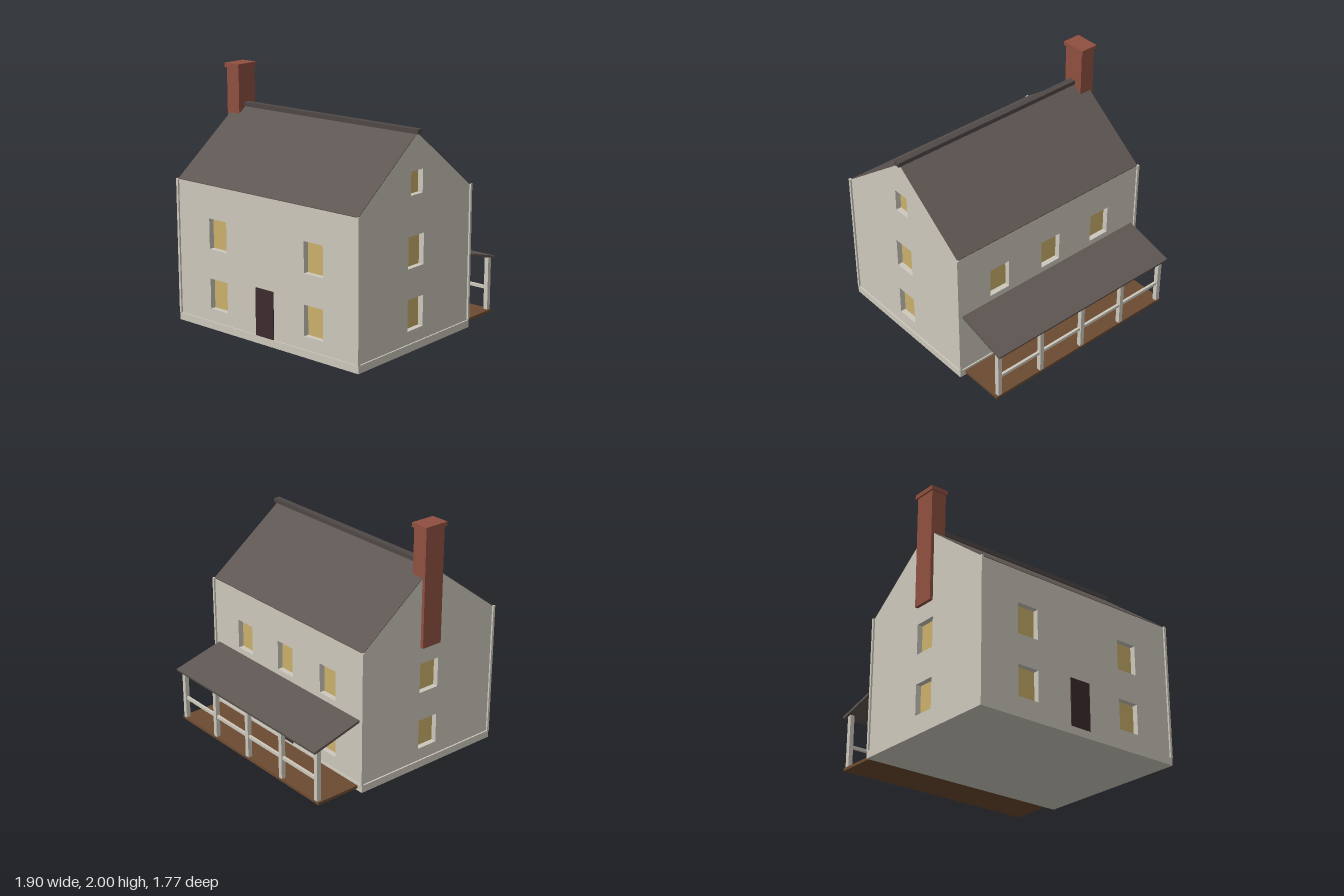
import * as THREE from 'three';

const mat = (name, color) => {
  const m = new THREE.MeshStandardMaterial({ color });
  m.name = name;
  return m;
};

export function createModel() {
  const plaster = mat('pale plaster', 0xcdc8bc);
  const shingle = mat('roof shingle', 0x5e5652);
  const capGrey = mat('ridge grey', 0x4e4846);
  const amber = mat('window amber', 0xcbb06a);
  const brick = mat('chimney brick', 0x8f5040);
  const darkWood = mat('door wood', 0x3c2b2f);
  const deckWood = mat('deck wood', 0x6b4a30);

  const house = new THREE.Group();
  house.name = 'house';

  // Box given by its limits on each axis
  const box = (name, material, [x0, x1], [y0, y1], [z0, z1], parent = house) => {
    const mesh = new THREE.Mesh(new THREE.BoxGeometry(x1 - x0, y1 - y0, z1 - z0), material);
    mesh.position.set((x0 + x1) / 2, (y0 + y1) / 2, (z0 + z1) / 2);
    mesh.name = name;
    parent.add(mesh);
    return mesh;
  };

  const CX = 0.004, CZ = 0.206;      // centre of the main block
  const HW = 0.917, HD = 0.665;      // half width and half depth
  const BASE = 0.06, EAVE = 1.155, RIDGE = 1.66;
  const RECESS = 0.045;

  // Wall panel facing local +z, with window openings and recessed panes
  const wall = (name, outline, windows, x, z, turn) => {
    const group = new THREE.Group();
    group.name = name;
    const shape = new THREE.Shape(outline.map(p => new THREE.Vector2(...p)));
    for (const [u, y, w, h] of windows) {
      const a = u - w / 2, b = u + w / 2, c = y - h / 2, d = y + h / 2;
      shape.holes.push(new THREE.Path([[a, c], [a, d], [b, d], [b, c]].map(p => new THREE.Vector2(...p))));
      box('windowPane', amber, [a - 0.004, b + 0.004], [c - 0.004, d + 0.004], [-RECESS - 0.006, -RECESS], group);
    }
    const geo = new THREE.ExtrudeGeometry(shape, { depth: RECESS, bevelEnabled: false });
    geo.translate(0, 0, -RECESS);
    const panel = new THREE.Mesh(geo, plaster);
    panel.name = name + 'Panel';
    group.add(panel);
    group.position.set(x, 0, z);
    group.rotation.y = turn;
    house.add(group);
    return group;
  };

  const LOW = 0.285, HIGH = 0.77, W = 0.185, H = 0.245;
  const longWall = [[-HW, BASE], [HW, BASE], [HW, EAVE], [-HW, EAVE]];
  const gable = [[-HD, BASE], [HD, BASE], [HD, EAVE], [0, RIDGE], [-HD, EAVE]];
  const pairs = us => us.flatMap(u => [[u, LOW, W, H], [u, HIGH, W, H]]);

  const front = wall('frontWall', longWall, pairs([-0.491, 0.491]), CX, CZ + HD, 0);
  const back = wall('backWall', longWall, [...pairs([-0.515, 0.515]), [0, HIGH, W, H]], CX, CZ - HD, Math.PI);
  wall('leftGable', gable, [...pairs([0]), [0, 1.293, 0.14, 0.18]], CX + HW, CZ, Math.PI / 2);
  wall('rightGable', gable, pairs([0]), CX - HW, CZ, -Math.PI / 2);

  // Doors
  for (const w of [front, back]) box('door', darkWood, [-0.091, 0.091], [BASE, 0.44], [0, 0.008], w);

  // Foundation and corner boards
  box('foundation', plaster, [-0.926, 0.933], [0, BASE], [-0.469, 0.881]);
  for (const sx of [-1, 1]) for (const sz of [-1, 1]) {
    const x = CX + sx * (HW + 0.004), z = CZ + sz * (HD + 0.004);
    box('cornerBoard', plaster, [x - 0.01, x + 0.01], [BASE, 1.16], [z - 0.01, z + 0.01]);
  }

  // Main roof: a thin folded sheet along x
  const t = 0.006;
  const fold = new THREE.Shape([
    [-HD, EAVE], [0, RIDGE], [HD, EAVE], [HD, EAVE + t], [0, RIDGE + t], [-HD, EAVE + t],
  ].map(p => new THREE.Vector2(...p)));
  const roofGeo = new THREE.ExtrudeGeometry(fold, { depth: 2 * HW, bevelEnabled: false });
  roofGeo.translate(0, 0, -HW);
  const roof = new THREE.Mesh(roofGeo, shingle);
  roof.name = 'mainRoof';
  roof.rotation.y = Math.PI / 2;
  roof.position.set(CX, 0, CZ);
  house.add(roof);
  box('ridgeCap', capGrey, [-0.91, 0.945], [1.655, 1.69], [CZ - 0.027, CZ + 0.027]);

  // Chimney on the right gable
  box('chimneyShaft', brick, [-0.94, -0.81], [1.03, 1.97], [0.11, 0.292]);
  box('chimneyCap', brick, [-0.953, -0.8], [1.965, 2], [0.095, 0.305]);

  // Back porch: deck, sloping roof, posts and rail
  box('porchDeck', deckWood, [CX - 0.88, CX + 0.88], [0.02, 0.043], [-0.85, -0.46]);
  const slope = new THREE.Shape([
    [0.455, 0.58], [0.885, 0.463], [0.89, 0.482], [0.455, 0.6],
  ].map(p => new THREE.Vector2(...p)));
  const porchGeo = new THREE.ExtrudeGeometry(slope, { depth: 1.768, bevelEnabled: false });
  porchGeo.translate(0, 0, -0.884);
  const porchRoof = new THREE.Mesh(porchGeo, shingle);
  porchRoof.name = 'porchRoof';
  porchRoof.rotation.y = Math.PI / 2;
  porchRoof.position.x = CX;
  house.add(porchRoof);
  for (let i = -2; i <= 2; i++) {
    const x = CX + i * 0.423;
    box('porchPost', plaster, [x - 0.018, x + 0.018], [0.043, 0.48], [-0.85, -0.813]);
  }
  box('porchRail', plaster, [CX - 0.846, CX + 0.846], [0.21, 0.235], [-0.842, -0.821]);

  return house;
}
